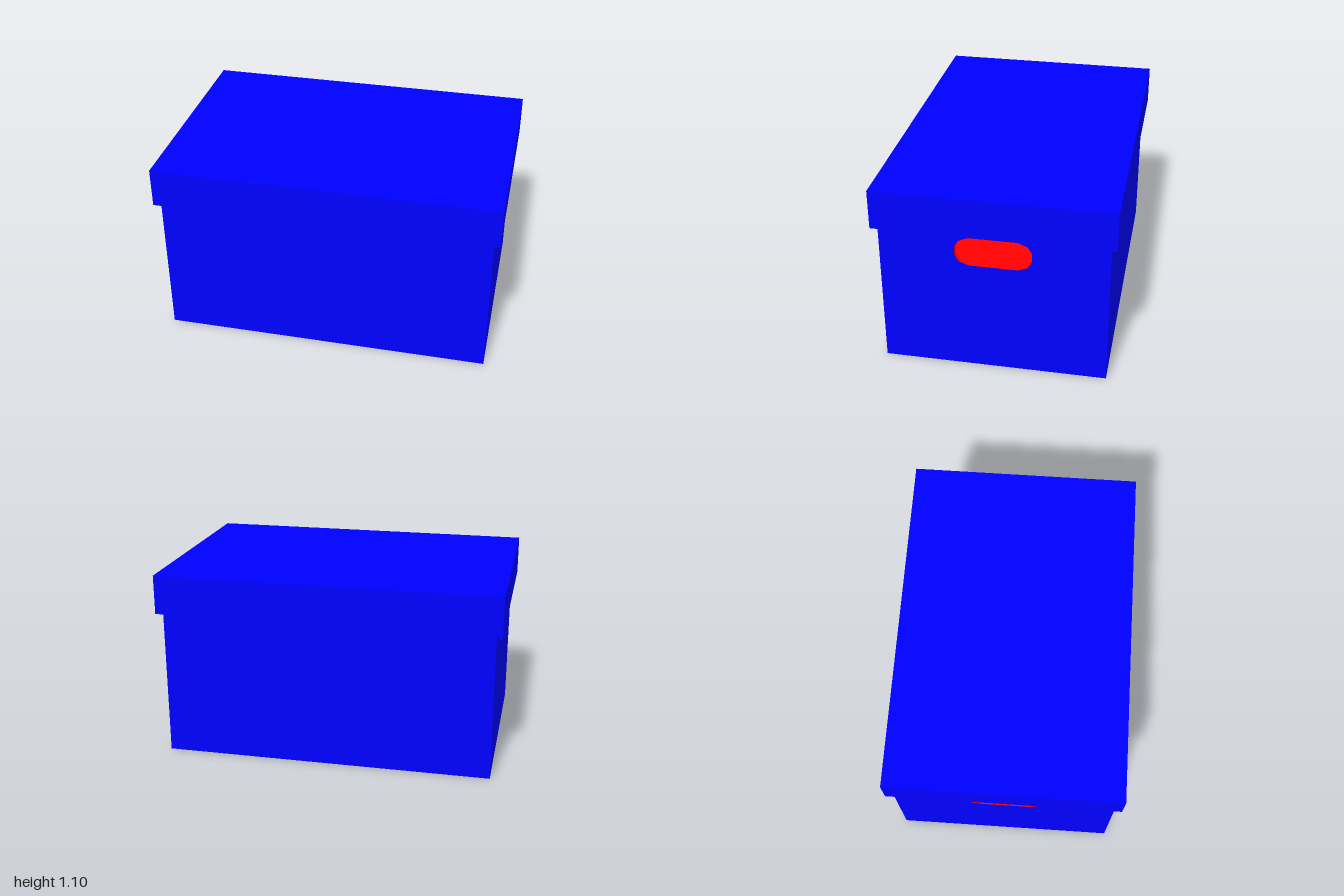
import * as THREE from 'three';

const BODY = { x: 0.965, z: 0.643, top: 1.065 };
const LID = { x: 1, z: 0.676, bottom: 0.87, top: 1.1 };
const T = 0.03; // board thickness

export function createModel() {
  const model = new THREE.Group();
  model.name = 'storageBox';
  const blue = new THREE.MeshStandardMaterial({ color: 0x0000ff });
  const red = new THREE.MeshStandardMaterial({ color: 0xff0000 });
  const FACES = ['+x', '-x', '+y', '-y', '+z', '-z'];

  // Board with blue outer faces; every other face is red
  function board(parent, name, size, pos, outer) {
    const mats = FACES.map((f) => (outer.includes(f) ? blue : red));
    const mesh = new THREE.Mesh(new THREE.BoxGeometry(...size), mats);
    mesh.position.set(...pos);
    mesh.name = name;
    parent.add(mesh);
  }

  // End panel with an eight-cornered handle slot, cut chamfers included
  function endPanel() {
    const w = BODY.z - T;
    const shape = new THREE.Shape([[-w, 0], [w, 0], [w, BODY.top], [-w, BODY.top]]
      .map(([x, y]) => new THREE.Vector2(x, y)));
    const half = [[0.138, 0.67], [0.192, 0.692], [0.216, 0.732], [0.216, 0.782], [0.192, 0.822], [0.138, 0.845]];
    const slot = [...half, ...half.map(([x, y]) => [-x, y]).reverse()];
    shape.holes.push(new THREE.Path(slot.map(([x, y]) => new THREE.Vector2(x, y))));
    const geo = new THREE.ExtrudeGeometry(shape, { depth: T, bevelEnabled: false });
    // Inner cap and edges red, outer cap blue
    const [caps, edges] = geo.groups.map((g) => g.count);
    geo.clearGroups();
    geo.addGroup(0, caps / 2, 0);
    geo.addGroup(caps / 2, caps / 2, 1);
    geo.addGroup(caps, edges, 0);
    return geo;
  }

  const body = new THREE.Group();
  body.name = 'body';
  const lid = new THREE.Group();
  lid.name = 'lid';
  model.add(body, lid);

  // Floor and lid top
  board(body, 'floor', [2 * (BODY.x - T), T, 2 * (BODY.z - T)], [0, T / 2, 0], []);
  board(lid, 'lidTop', [2 * LID.x, T, 2 * LID.z], [0, LID.top - T / 2, 0], ['+x', '-x', '+y', '+z', '-z']);

  const panel = endPanel();
  const rimH = LID.top - T - LID.bottom;
  const rimY = LID.bottom + rimH / 2;
  for (const s of [1, -1]) {
    const sign = s > 0 ? '+' : '-';
    // Long walls and rims run corner to corner, short ones fit between them
    board(body, s > 0 ? 'frontWall' : 'backWall', [2 * BODY.x, BODY.top, T],
      [0, BODY.top / 2, s * (BODY.z - T / 2)], ['+x', '-x', sign + 'z']);
    board(lid, s > 0 ? 'frontRim' : 'backRim', [2 * LID.x, rimH, T],
      [0, rimY, s * (LID.z - T / 2)], ['+x', '-x', sign + 'z']);
    board(lid, s > 0 ? 'leftRim' : 'rightRim', [T, rimH, 2 * (LID.z - T)],
      [s * (LID.x - T / 2), rimY, 0], [sign + 'x']);

    const end = new THREE.Mesh(panel, [red, blue]);
    end.name = s > 0 ? 'leftHandleWall' : 'rightHandleWall';
    end.rotation.y = s * Math.PI / 2;
    end.position.x = s * (BODY.x - T);
    body.add(end);
  }
  return model;
}
